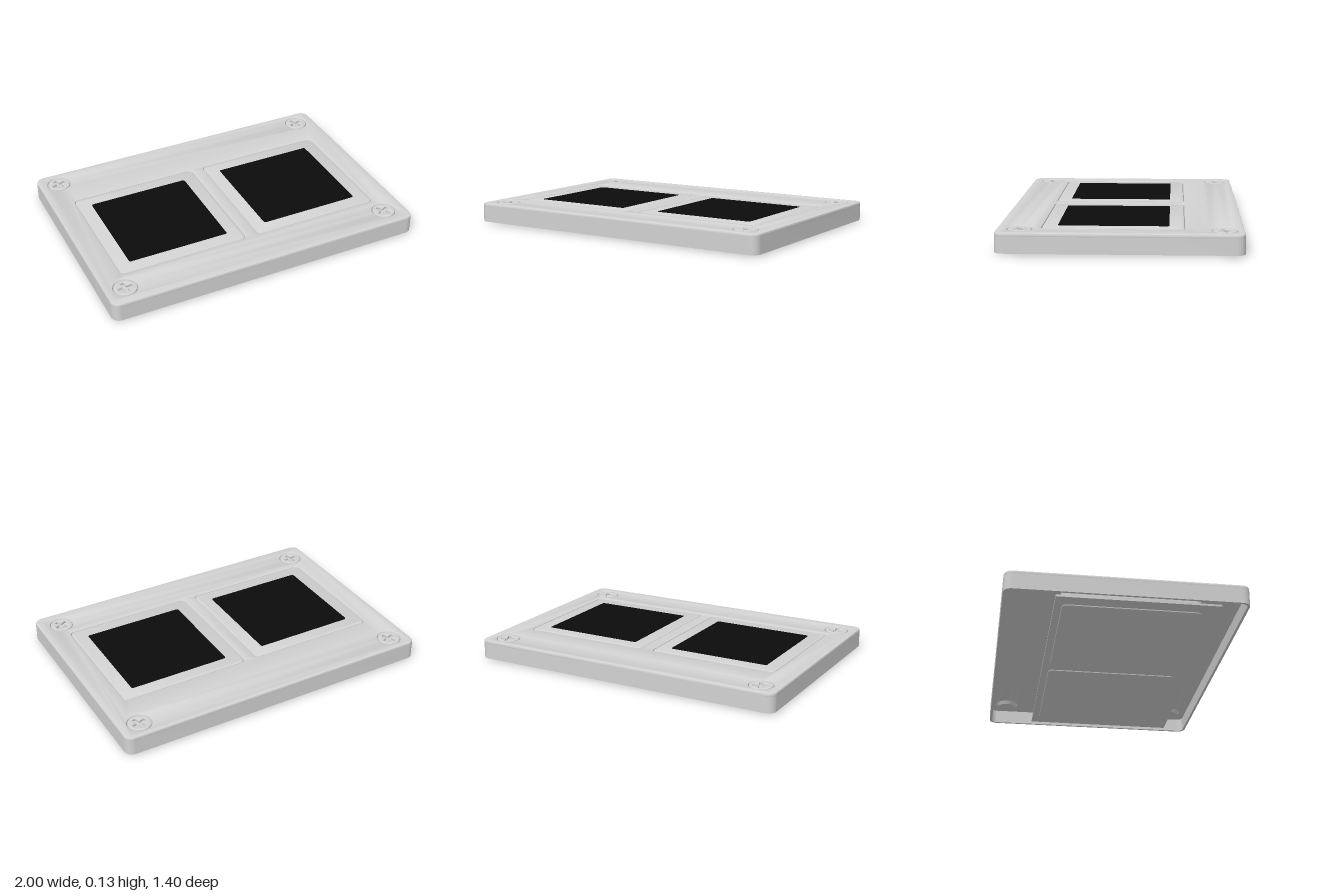
import * as THREE from 'three';
import { toCreasedNormals } from 'three/addons/utils/BufferGeometryUtils.js';

const lightGrey = new THREE.MeshStandardMaterial({ color: 0xd2d2d2 });
lightGrey.name = 'lightGrey';
const black = new THREE.MeshStandardMaterial({ color: 0x0b0b0b });
black.name = 'black';

// Rounded rectangle centred on (cx, cz)
function roundRect(T, cx, cz, hw, hd, r) {
  const s = new T();
  const corners = [[1, 1, 0], [-1, 1, 1], [-1, -1, 2], [1, -1, 3]];
  for (const [sx, sy, q] of corners) {
    s.absarc(cx + sx * (hw - r), -cz + sy * (hd - r), r, q * Math.PI / 2, (q + 1) * Math.PI / 2, false);
  }
  s.closePath();
  return s;
}

// Horizontal slab between two heights, with optional bevelled rims
function slab(name, shape, y0, y1, bevel, material) {
  const geo = new THREE.ExtrudeGeometry(shape, {
    depth: y1 - y0 - 2 * bevel, curveSegments: 10, bevelEnabled: bevel > 0,
    bevelThickness: bevel, bevelSize: bevel, bevelOffset: -bevel, bevelSegments: 2,
  });
  geo.rotateX(-Math.PI / 2).translate(0, y0 + bevel, 0);
  const mesh = new THREE.Mesh(toCreasedNormals(geo, 0.6), material);
  mesh.name = name;
  return mesh;
}

// Cross slot outline for a screw head
function crossPath(arm, w, angle) {
  const base = [[arm, -w], [arm, w], [w, w]];
  const pts = [];
  for (let k = 0; k < 4; k++) {
    for (const [x, y] of base) {
      pts.push(new THREE.Vector2(x, y).rotateAround(new THREE.Vector2(), angle + k * Math.PI / 2));
    }
  }
  return new THREE.Path(pts);
}

function createScrew(angle) {
  const screw = new THREE.Group();
  screw.name = 'screw';
  const head = new THREE.Shape().absarc(0, 0, 0.07, 0, Math.PI * 2, false);
  head.holes.push(crossPath(0.046, 0.011, angle));
  screw.add(slab('screwHead', head, 0.1, 0.124, 0.005, lightGrey));
  const body = new THREE.Mesh(new THREE.CylinderGeometry(0.074, 0.06, 0.03, 32), lightGrey);
  body.name = 'screwSeat';
  body.position.y = 0.093;
  screw.add(body);
  return screw;
}

export function createModel() {
  const model = new THREE.Group();
  model.name = 'wallPlate';
  const moduleX = 0.447, moduleZ = 0.043, moduleHalf = 0.406;
  const screws = [
    [-0.875, -0.588, 0.35], [0.87, -0.588, 0.35],
    [-0.875, 0.568, 0.12], [0.86, 0.568, 0.5],
  ];

  // Face plate with openings for the modules and screws
  const face = roundRect(THREE.Shape, 0, 0, 1, 0.7, 0.05);
  for (const s of [-1, 1]) {
    face.holes.push(roundRect(THREE.Path, s * moduleX, moduleZ, moduleHalf, moduleHalf, 0.03));
  }
  for (const [x, z] of screws) {
    face.holes.push(new THREE.Path().absarc(x, -z, 0.072, 0, Math.PI * 2, false));
  }
  model.add(slab('facePlate', face, 0.095, 0.125, 0.01, lightGrey));

  // Surrounding wall, open below
  const wall = roundRect(THREE.Shape, 0, 0, 1, 0.7, 0.05);
  wall.holes.push(roundRect(THREE.Path, 0, 0, 0.985, 0.685, 0.035));
  model.add(slab('sideWall', wall, 0.008, 0.114, 0, lightGrey));

  // Rear mounting panel
  model.add(slab('rearPanel', roundRect(THREE.Shape, 0, 0.07, 0.94, 0.475, 0.005), 0.008, 0.02, 0, lightGrey));

  // Two square modules with dark windows
  for (const s of [-1, 1]) {
    const x = s * moduleX;
    const body = roundRect(THREE.Shape, x, moduleZ, moduleHalf, moduleHalf, 0.03);
    model.add(slab('module', body, 0, 0.124, 0.01, lightGrey));
    const pane = roundRect(THREE.Shape, x, moduleZ, 0.319, 0.319, 0.012);
    model.add(slab('moduleWindow', pane, 0.12, 0.126, 0, black));
  }

  // Corner screws
  for (const [x, z, angle] of screws) {
    const screw = createScrew(angle);
    screw.position.set(x, 0, z);
    model.add(screw);
  }
  return model;
}
